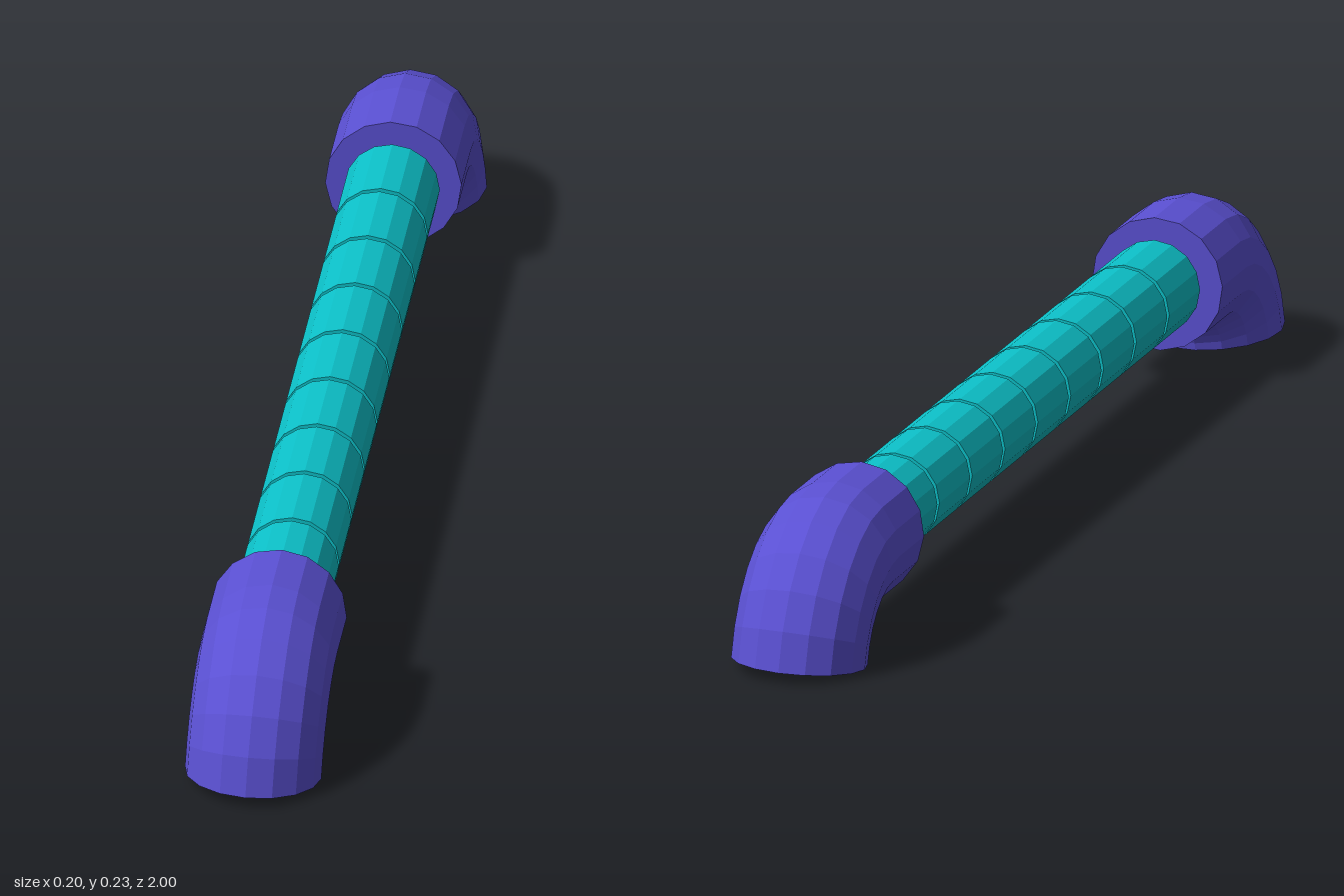
import * as THREE from 'three';

const AXIS_Y = 0.137;   // height of the bar's centre line
const SIDES = 16;

// Flat-shaded pipe elbow: a short straight neck, then a bend down to the floor.
function elbowGeometry() {
  const r = 0.095, bend = 0.138, startZ = 0.66, bendZ = 0.768;
  const sweep = THREE.MathUtils.degToRad(85.5), steps = 6;
  const stations = [{ z: startZ, t: 0 }];
  for (let i = 0; i <= steps; i++) stations.push({ z: bendZ, t: (sweep * i) / steps });

  const pos = [], index = [];
  // each station is a ring around the pipe's centre line
  for (const { z, t } of stations) {
    for (let j = 0; j < SIDES; j++) {
      const a = (j / SIDES) * Math.PI * 2;
      const R = bend + r * Math.cos(a);
      pos.push(r * Math.sin(a), R * Math.cos(t) - bend, z + R * Math.sin(t));
    }
  }
  const last = stations.length - 1;
  for (let j = 0; j < SIDES; j++) {
    const k = (j + 1) % SIDES;
    for (let i = 0; i < last; i++) {
      const a = i * SIDES + j, b = i * SIDES + k;
      index.push(a, a + SIDES, b, b, a + SIDES, b + SIDES);
    }
    // flat caps at the neck and at the foot
    if (j > 0 && j < SIDES - 1) {
      const e = last * SIDES;
      index.push(0, j, k, e, e + k, e + j);
    }
  }
  const geo = new THREE.BufferGeometry();
  geo.setAttribute('position', new THREE.Float32BufferAttribute(pos, 3));
  geo.setIndex(index);
  const flat = geo.toNonIndexed();
  flat.computeVertexNormals();
  return flat;
}

export function createModel() {
  const model = new THREE.Group();
  model.name = 'segmentedHandle';

  const purple = new THREE.MeshStandardMaterial({ color: 0x5a50d2, flatShading: true });
  const teal = new THREE.MeshStandardMaterial({ color: 0x0cc0c8, flatShading: true });
  const black = new THREE.MeshStandardMaterial({ color: 0x111111, flatShading: true });

  // Elbows at both ends, each rolled very slightly about the bar
  const elbowGeo = elbowGeometry();
  for (const front of [true, false]) {
    const end = new THREE.Group();
    end.name = front ? 'frontElbow' : 'backElbow';
    const elbow = new THREE.Mesh(elbowGeo, purple);
    elbow.name = 'elbowPipe';
    elbow.rotation.z = -0.045;
    end.add(elbow);
    end.position.y = AXIS_Y;
    end.rotation.y = front ? 0 : Math.PI;
    model.add(end);
  }

  // Thin rod running through the grip segments
  const rod = new THREE.Mesh(new THREE.CylinderGeometry(0.02, 0.02, 1.34, SIDES), black);
  rod.name = 'coreRod';
  rod.rotation.x = Math.PI / 2;
  rod.position.y = AXIS_Y;
  model.add(rod);

  // Nine evenly spaced grip segments
  const grip = new THREE.CylinderGeometry(0.066, 0.066, 0.136, SIDES).rotateX(Math.PI / 2);
  for (let i = -4; i <= 4; i++) {
    const segment = new THREE.Mesh(grip, teal);
    segment.name = 'gripSegment' + (i + 5);
    segment.position.set(0, AXIS_Y, i * 0.1453);
    model.add(segment);
  }
  return model;
}
